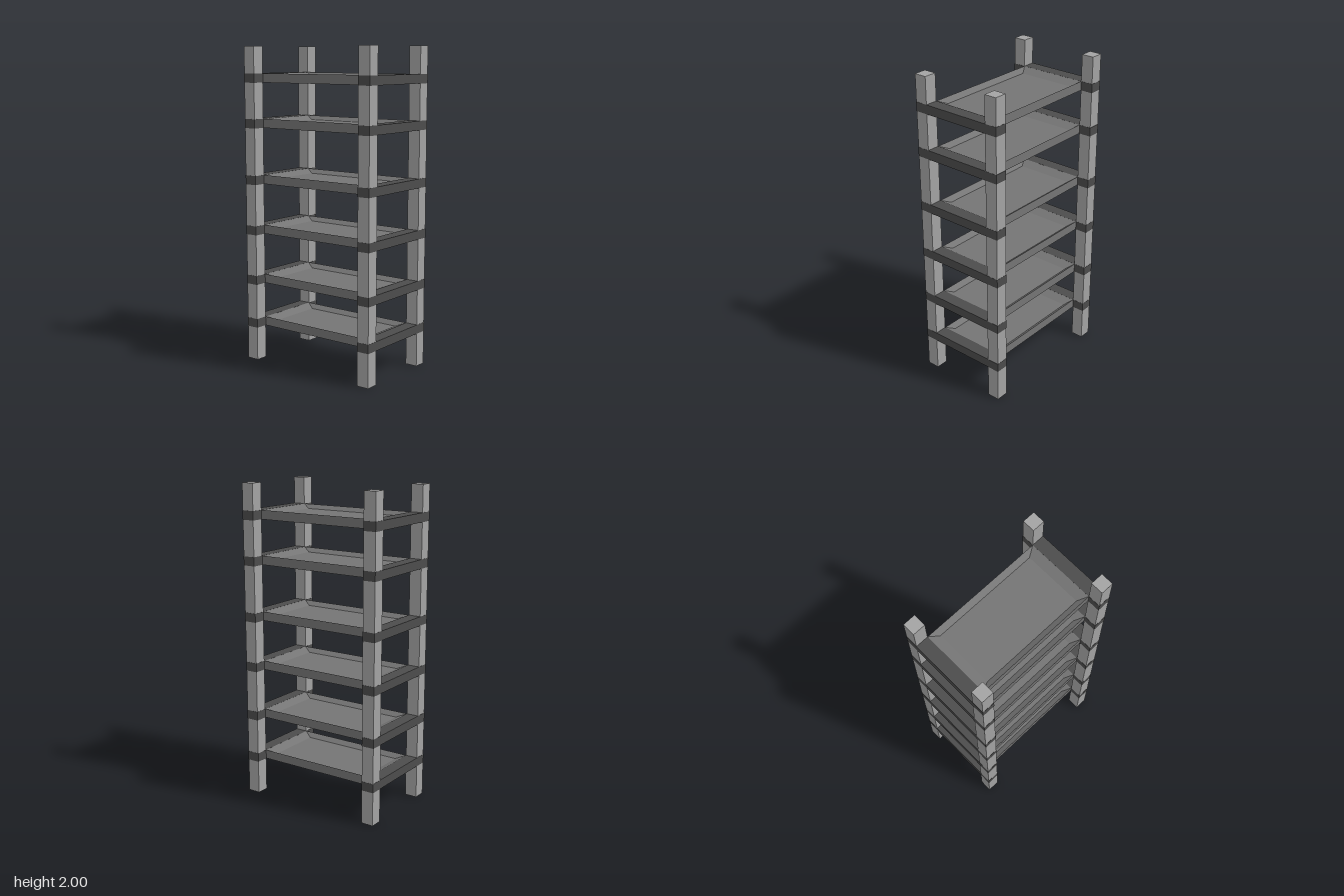
import * as THREE from 'three';

const mat = (name, color) => {
  const m = new THREE.MeshStandardMaterial({ color });
  m.name = name;
  return m;
};

// Shallow tray: rectangular rings joined into walls and sloping rim, then capped.
// Group 0 is the body, group 1 the underside.
function trayGeometry(thickness, depth) {
  const rings = [
    [0.4, 0, 0.22],
    [0.4, thickness, 0.22],
    [0.34, thickness - depth, 0.185],
  ].map(([x, y, z]) => [[-x, y, z], [x, y, z], [x, y, -z], [-x, y, -z]]);
  const pos = [];
  const quad = (a, b, c, d) => pos.push(...a, ...b, ...c, ...a, ...c, ...d);
  for (let r = 0; r < 2; r++) {
    for (let i = 0; i < 4; i++) {
      const j = (i + 1) % 4;
      quad(rings[r][i], rings[r][j], rings[r + 1][j], rings[r + 1][i]);
    }
  }
  quad(...rings[2]);
  const bodyCount = pos.length / 3;
  quad(...[...rings[0]].reverse());
  const g = new THREE.BufferGeometry();
  g.setAttribute('position', new THREE.Float32BufferAttribute(pos, 3));
  g.addGroup(0, bodyCount, 0);
  g.addGroup(bodyCount, 6, 1);
  g.computeVertexNormals();
  return g;
}

export function createModel() {
  const group = new THREE.Group();
  const postMat = mat('light grey', 0xa3a3a3);
  const trayMat = mat('mid grey', 0x757575);
  const railMat = mat('dark grey', 0x4c4c4c);
  const undersideMat = mat('pale grey', 0xd0d0d0);
  const thickness = 0.057;

  const add = (parent, name, geometry, material, x, y, z) => {
    const mesh = new THREE.Mesh(geometry, material);
    mesh.name = name;
    mesh.position.set(x, y, z);
    parent.add(mesh);
  };

  // Four square corner posts with dark feet faces
  const postGeo = new THREE.BoxGeometry(0.08, 2, 0.08);
  const postMats = [postMat, postMat, postMat, railMat, postMat, postMat];
  for (const x of [-0.44, 0.44]) {
    for (const z of [-0.26, 0.26]) add(group, 'cornerPost', postGeo, postMats, x, 1, z);
  }

  // Shelves: a dished tray held by two side rails that wrap the posts
  const trayGeo = trayGeometry(thickness, 0.025);
  const railGeo = new THREE.BoxGeometry(0.082, thickness, 0.602);
  for (const y of [0.213, 0.495, 0.817, 1.138, 1.493, 1.775]) {
    const shelf = new THREE.Group();
    shelf.name = 'shelf';
    shelf.position.y = y;
    add(shelf, 'tray', trayGeo, [trayMat, undersideMat], 0, 0, 0);
    for (const x of [-0.44, 0.44]) add(shelf, 'sideRail', railGeo, railMat, x, thickness / 2, 0);
    group.add(shelf);
  }
  return group;
}
